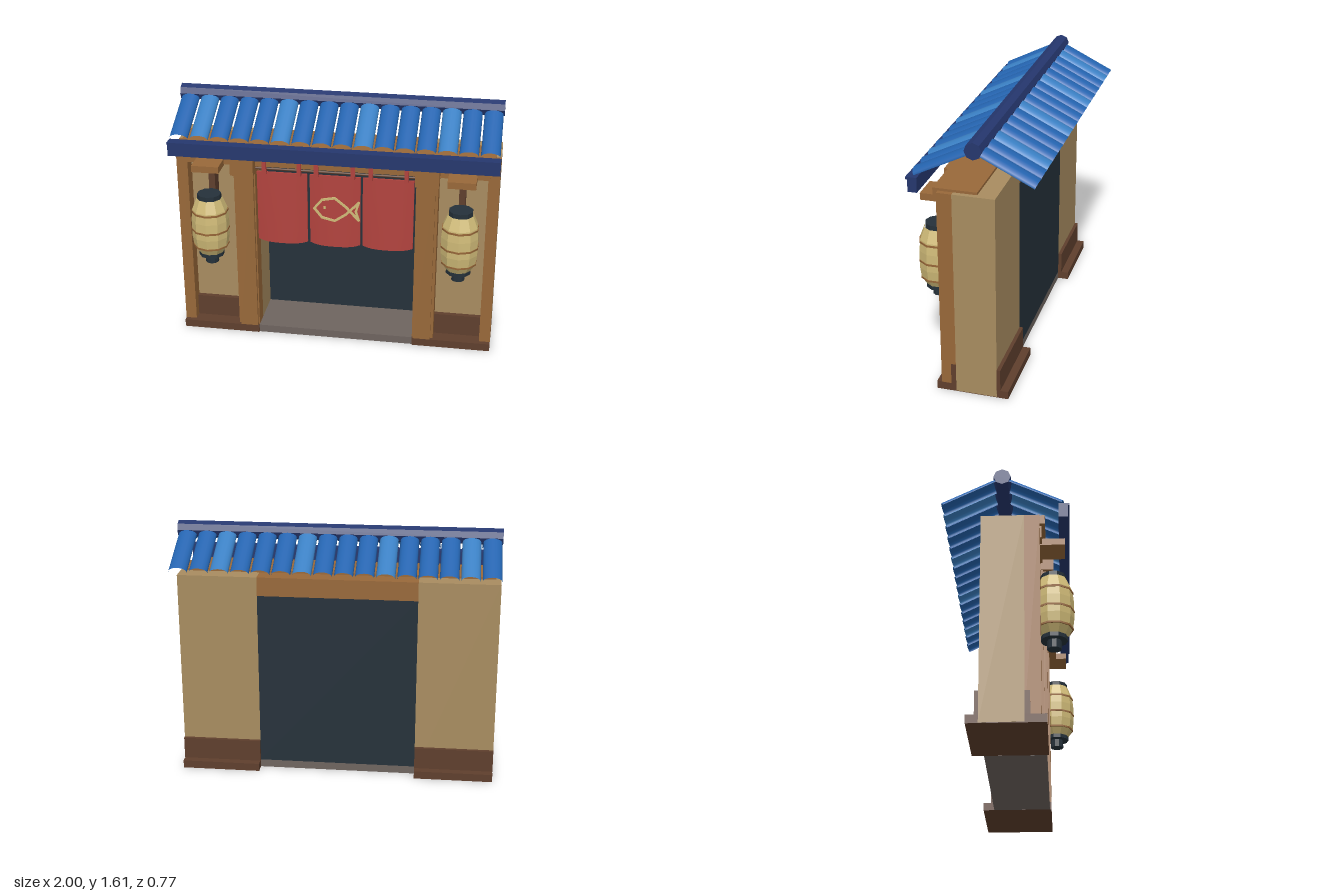
import * as THREE from 'three';

const mat = (name, color, opts = {}) => {
  const m = new THREE.MeshStandardMaterial({ color, ...opts });
  m.name = name;
  return m;
};

export function createModel() {
  const root = new THREE.Group();
  root.name = 'shopFront';
  const flat = { flatShading: true };
  const plaster = mat('plaster', 0xa88c60);
  const wood = mat('wood', 0x986839);
  const darkWood = mat('darkWood', 0x5f3f2d);
  const dark = mat('darkPanel', 0x25313a, flat);
  const red = mat('redCloth', 0xb0423d);
  const navy = mat('navyTrim', 0x25376e, flat);
  const blue = mat('blueTile', 0x2464b0, { side: THREE.DoubleSide });
  const lightBlue = mat('lightBlueTile', 0x3a80c4, { side: THREE.DoubleSide });
  const paper = mat('lanternPaper', 0xd0bb78, flat);
  const stone = mat('stone', 0x6e645f);

  const add = (name, geo, m, parent = root) => {
    const mesh = new THREE.Mesh(geo, m);
    mesh.name = name;
    parent.add(mesh);
    return mesh;
  };
  // box from its extents
  const box = (name, m, [x0, x1], [y0, y1], [z0, z1], parent = root) => {
    const mesh = add(name, new THREE.BoxGeometry(x1 - x0, y1 - y0, z1 - z0), m, parent);
    mesh.position.set((x0 + x1) / 2, (y0 + y1) / 2, (z0 + z1) / 2);
    return mesh;
  };

  // doorway between the two wall blocks
  box('floor', stone, [-0.5, 0.5], [0, 0.05], [-0.15, 0.21]);
  box('door', dark, [-0.5, 0.5], [0.05, 1.17], [-0.15, -0.13]);
  box('backLintel', wood, [-0.5, 0.5], [1.17, 1.29], [-0.15, -0.04]);
  box('frontBeam', wood, [-0.94, 0.94], [1.175, 1.295], [-0.04, 0.2]);
  box('beamTrim', wood, [-0.97, 0.97], [1.25, 1.305], [-0.04, 0.22]);

  // parts that repeat on both sides
  const lanternProfile = [[0.075, 0.6], [0.108, 0.655], [0.117, 0.72], [0.117, 0.83],
    [0.11, 0.9], [0.08, 0.975]].map(p => new THREE.Vector2(...p));
  for (const s of [1, -1]) {
    const side = new THREE.Group();
    side.name = s > 0 ? 'leftSide' : 'rightSide';
    root.add(side);
    const part = (name, m, x, y, z) =>
      box(name, m, s > 0 ? x : [-x[1], -x[0]], y, z, side);
    part('wall', plaster, [0.5, 1], [0.004, 1.29], [-0.15, 0.1]);
    part('base', darkWood, [0.501, 0.999], [0, 0.05], [-0.22, 0.22]);
    part('backWainscot', darkWood, [0.5, 1], [0.05, 0.19], [-0.172, -0.15]);
    part('frontWainscot', darkWood, [0.62, 0.999], [0.05, 0.19], [0.1, 0.13]);
    part('sideWainscot', darkWood, [0.99, 1.001], [0.05, 0.185], [0.1, 0.13]);
    part('outerPost', wood, [0.93, 1], [0.05, 1.29], [0.1, 0.19]);
    part('innerPost', wood, [0.5, 0.635], [0.05, 1.2], [0.1, 0.2]);
    part('innerPostFace', wood, [0.508, 0.618], [0.05, 1.2], [0.2, 0.22]);
    part('postCapital', wood, [0.497, 0.642], [1.13, 1.275], [0.19, 0.265]);
    part('lanternArm', wood, [0.695, 0.865], [1.168, 1.21], [0.19, 0.335]);
    part('lanternHanger', darkWood, [0.76, 0.8], [0.85, 1.175], [0.1, 0.185]);

    const lantern = new THREE.Group();
    lantern.name = 'lantern';
    lantern.position.set(s * 0.78, 0, 0.263);
    side.add(lantern);
    add('lanternBody', new THREE.LatheGeometry(lanternProfile, 10), paper, lantern);
    const ring = (name, m, r, y0, y1) => {
      const mesh = add(name, new THREE.CylinderGeometry(r, r, y1 - y0, 10), m, lantern);
      mesh.position.y = (y0 + y1) / 2;
    };
    ring('lanternCap', dark, 0.075, 0.97, 1.002);
    ring('lanternBottom', dark, 0.079, 0.582, 0.608);
    ring('lanternTip', dark, 0.042, 0.53, 0.585);
    ring('lowerBand', wood, 0.112, 0.65, 0.661);
    ring('middleBand', wood, 0.12, 0.76, 0.772);
    ring('upperBand', wood, 0.115, 0.88, 0.892);
  }

  // curtain rod and three softly billowing panels, each on two loops
  const rod = add('curtainRod', new THREE.CylinderGeometry(0.008, 0.008, 1, 8), darkWood);
  rod.rotation.z = Math.PI / 2;
  rod.position.set(0, 1.16, 0.19);
  const w = 0.316, h = 0.475;
  for (const [cx, loops] of [[-0.332, [-0.44, -0.222]], [0, [-0.115, 0.112]], [0.33, [0.222, 0.44]]]) {
    const g = new THREE.BoxGeometry(w, h, 0.012, 10, 6, 1);
    const p = g.attributes.position;
    for (let i = 0; i < p.count; i++) {
      const u = p.getX(i) / (w / 2), v = 0.5 - p.getY(i) / h;
      p.setZ(i, p.getZ(i) + 0.018 * v * (1 - u * u));
      p.setY(i, p.getY(i) + 0.015 * v * u ** 4);
    }
    g.computeVertexNormals();
    add('curtain', g, red).position.set(cx, 0.9, 0.185);
    for (const x of loops) box('curtainLoop', red, [x - 0.013, x + 0.013], [1.13, 1.22], [0.18, 0.213]);
  }

  // fish outline on the middle panel
  const fish = [[0.15, 0.975], [0.07, 0.89], [0.0, 0.842], [-0.08, 0.86], [-0.128, 0.92],
    [-0.08, 0.98], [0.0, 0.996], [0.07, 0.94], [0.15, 0.855], [0.132, 0.915], [0.15, 0.975]];
  for (let i = 0; i < fish.length - 1; i++) {
    const [x0, y0] = fish[i], [x1, y1] = fish[i + 1];
    const bar = add('fishOutline',
      new THREE.BoxGeometry(Math.hypot(x1 - x0, y1 - y0) + 0.008, 0.014, 0.009), paper);
    bar.position.set((x0 + x1) / 2, (y0 + y1) / 2, 0.204);
    bar.rotation.z = Math.atan2(y1 - y0, x1 - x0);
  }
  box('fishEye', paper, [-0.07, -0.056], [0.92, 0.934], [0.198, 0.207]);

  // roof: ridge, eave beam and two slopes of arched tiles
  const ridge = add('roofRidge', new THREE.CylinderGeometry(0.051, 0.051, 2, 8), navy);
  ridge.rotation.z = Math.PI / 2;
  ridge.position.set(0, 1.559, -0.027);
  box('eaveBeam', navy, [-1, 1], [1.275, 1.355], [0.3, 0.355]);
  box('eaveCap', navy, [-1, 1], [1.35, 1.365], [0.3, 0.366]);

  const run = 0.345, drop = 0.17, pitch = Math.atan2(drop, run);
  const tile = new THREE.CylinderGeometry(0.057, 0.057, Math.hypot(run, drop), 8, 1, true,
    -Math.PI / 2, Math.PI);
  tile.scale(1, 1, 0.6);
  tile.rotateX(pitch - Math.PI / 2);
  tile.translate(0, 1.547 - drop / 2, run / 2);
  for (const facing of [0, Math.PI]) {
    const slope = new THREE.Group();
    slope.name = facing ? 'backRoofSlope' : 'frontRoofSlope';
    slope.position.z = -0.027;
    root.add(slope);
    for (let i = 0; i < 16; i++) {
      const t = add('roofTile', tile, i % 4 === 1 ? lightBlue : blue, slope);
      t.position.x = -0.9375 + i * 0.125;
      t.rotation.y = facing;
    }
  }
  return root;
}
